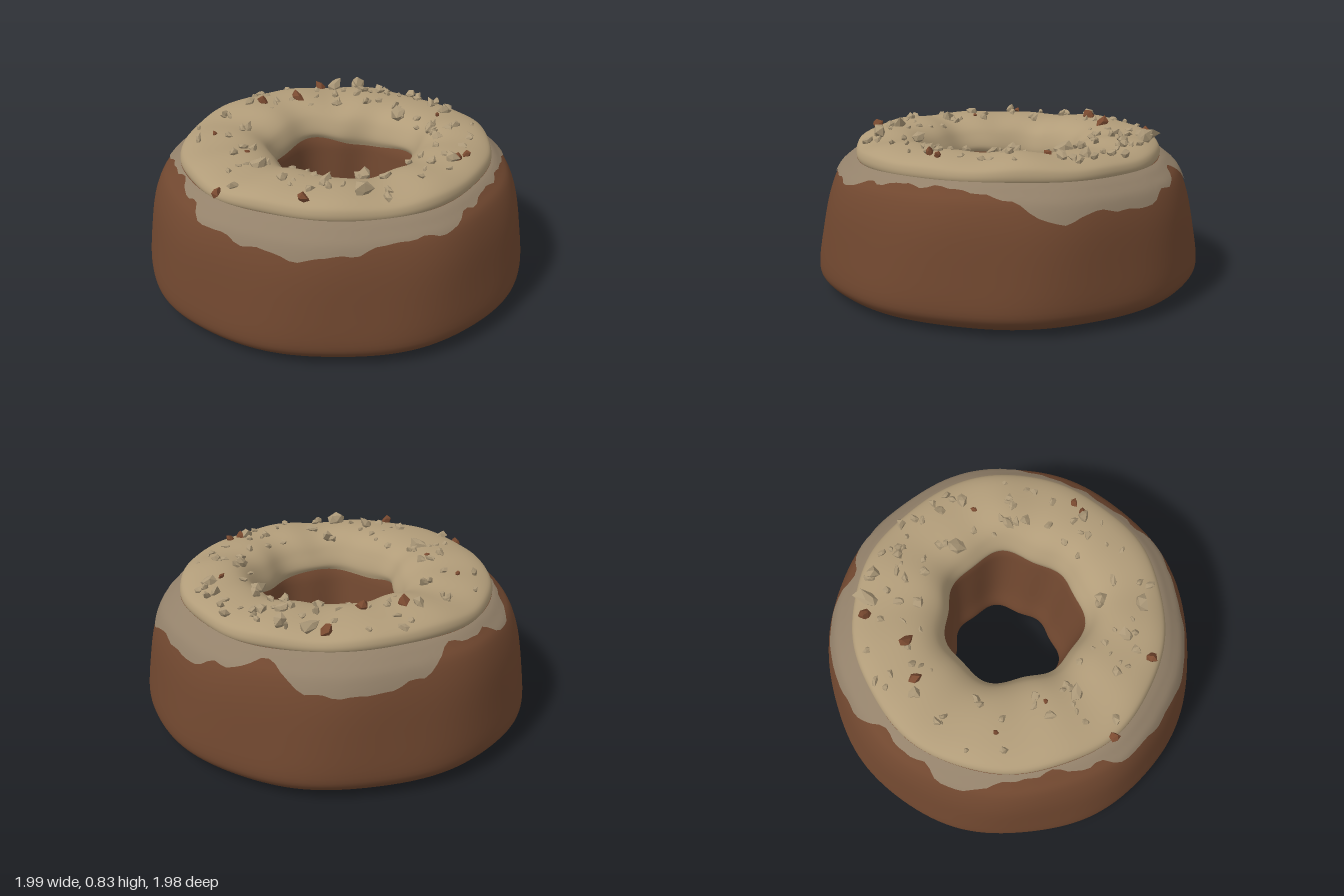
import * as THREE from 'three';

const mat = (name, color, extra = {}) => {
  const m = new THREE.MeshStandardMaterial({ color, ...extra });
  m.name = name;
  return m;
};

// small seeded generator
let seed = 7;
const rand = () => {
  seed = (seed * 16807) % 2147483647;
  return seed / 2147483647;
};

const SEGS = 144;
const clamp = THREE.MathUtils.clamp;
const smooth = (pts, n) =>
  new THREE.SplineCurve(pts.map(([r, y]) => new THREE.Vector2(r, y))).getPoints(n);

// places a profile point on the slightly uneven, off-centre ring
function ringPoint(r, y, a) {
  const w = clamp((0.8 - r) / 0.4, 0, 1); // 1 at the hole, 0 at the outside
  const outer = 0.004 * Math.sin(5 * a + 1) + 0.004 * Math.sin(9 * a + y * 4);
  const inner = 0.012 * Math.sin(3 * a + 2) + 0.012 * Math.sin(7 * a + 1);
  const rr = r + outer * (1 - w) + inner * w;
  const lift = 0.008 * Math.sin(3 * a + 0.5) * clamp(y * 2, 0, 1);
  const lean = -0.012 * Math.sin(a) * clamp(y * 2, 0, 1) * (1 - w);
  return [
    rr * Math.cos(a) + 0.03 * w,
    y + lift,
    rr * Math.sin(a) + lean + w * THREE.MathUtils.lerp(-0.03, 0.03, clamp(y / 0.7, 0, 1)),
  ];
}

// surface of revolution whose profile may change with the angle
function ring(rows, at) {
  const pos = [], idx = [];
  for (let i = 0; i < rows; i++) {
    for (let j = 0; j < SEGS; j++) {
      const a = (j / SEGS) * Math.PI * 2;
      const [r, y] = at(i, a);
      pos.push(...ringPoint(r, y, a));
      if (i === rows - 1) continue;
      const k = i * SEGS + j, n = i * SEGS + ((j + 1) % SEGS);
      idx.push(k, k + SEGS, n, n, k + SEGS, n + SEGS);
    }
  }
  const g = new THREE.BufferGeometry();
  g.setAttribute('position', new THREE.Float32BufferAttribute(pos, 3));
  g.setIndex(idx);
  g.computeVertexNormals();
  return g;
}

// height on a sampled profile at radius r, or radius at height y
function lookup(points, key, val, v) {
  for (let i = 1; i < points.length; i++) {
    const p = points[i - 1], q = points[i];
    if ((p[key] - v) * (q[key] - v) <= 0 && p[key] !== q[key]) {
      return THREE.MathUtils.lerp(p[val], q[val], (v - p[key]) / (q[key] - p[key]));
    }
  }
  return points[points.length - 1][val];
}

// irregular angular crumb
function crumb(size) {
  const g = new THREE.IcosahedronGeometry(size, 0);
  const p = g.attributes.position;
  const s = [0.7 + rand() * 0.6, 0.5 + rand() * 0.5, 0.5 + rand() * 0.6];
  const ph = rand() * 6;
  for (let i = 0; i < p.count; i++) {
    const x = p.getX(i), y = p.getY(i), z = p.getZ(i);
    const k = 1 + 0.35 * Math.sin((x * 3 + y * 5 - z * 4) / size + ph);
    p.setXYZ(i, x * s[0] * k, y * s[1] * k, z * s[2] * k);
  }
  g.computeVertexNormals();
  return g;
}

export function createModel() {
  seed = 7;
  const group = new THREE.Group();
  const dough = mat('dough brown', 0x70472f);
  const soaked = mat('soaked glaze', 0x93816a, { side: THREE.DoubleSide });
  const icingMat = mat('icing beige', 0xb19c79, { side: THREE.DoubleSide });
  const nutMat = mat('nut tan', 0xab9878, { flatShading: true });
  const darkNut = mat('nut brown', 0x7a4a30, { flatShading: true });
  const add = (name, geo, m, parent = group) => {
    const mesh = new THREE.Mesh(geo, m);
    mesh.name = name;
    parent.add(mesh);
    return mesh;
  };

  // dough ring
  const body = smooth([
    [0.3, 0.025], [0.6, 0.015], [0.82, 0.015], [0.91, 0.035], [0.97, 0.075], [0.992, 0.14],
    [0.975, 0.3], [0.945, 0.48], [0.9, 0.6], [0.85, 0.65], [0.79, 0.69], [0.68, 0.71],
    [0.5, 0.7], [0.42, 0.66], [0.365, 0.59], [0.345, 0.48], [0.315, 0.22], [0.288, 0.08], [0.3, 0.025],
  ], 72);
  add('doughRing', ring(body.length, (i) => [body[i].x, body[i].y]), dough);

  // soaked glaze band with an uneven lower edge, one height every 15 degrees
  const edge = [
    0.53, 0.63, 0.662, 0.662, 0.65, 0.61, 0.615, 0.575, 0.545, 0.57, 0.6, 0.655,
    0.682, 0.665, 0.61, 0.655, 0.66, 0.56, 0.525, 0.535, 0.65, 0.6, 0.55, 0.57,
  ];
  const outerSide = body.slice(body.findIndex((p) => p.y > 0.2), body.findIndex((p) => p.y > 0.695));
  const bandRows = 10;
  add('glazeBand', ring(bandRows, (i, a) => {
    const f = (a / (Math.PI * 2)) * edge.length, k = Math.floor(f);
    const t = THREE.MathUtils.smoothstep(f - k, 0.1, 0.9);
    const low = THREE.MathUtils.lerp(edge[k % 24], edge[(k + 1) % 24], t)
      + 0.006 * Math.sin(23 * a) + 0.004 * Math.sin(41 * a);
    const y = THREE.MathUtils.lerp(Math.min(low, 0.685), 0.688, i / (bandRows - 1));
    return [lookup(outerSide, 'y', 'x', y) + 0.005, y + 0.003];
  }), soaked);

  // icing cap
  const icing = smooth([
    [0.775, 0.675], [0.797, 0.69], [0.798, 0.72], [0.775, 0.75], [0.7, 0.775], [0.58, 0.785],
    [0.48, 0.772], [0.41, 0.735], [0.37, 0.68], [0.352, 0.63], [0.362, 0.595],
  ], 40);
  const bump = (a) => 0.006 * Math.sin(6 * a + 1) + 0.005 * Math.sin(11 * a);
  add('icing', ring(icing.length, (i, a) => {
    const t = Math.sin((Math.PI * i) / (icing.length - 1));
    const drip = i > 30 ? ((i - 30) / 10) * 0.02 * Math.sin(4 * a + 2) : 0;
    return [icing[i].x, icing[i].y + bump(a) * t + drip];
  }), icingMat);

  // chopped nuts: the larger ones first, as [x, z, size, brown]
  const nuts = new THREE.Group();
  nuts.name = 'choppedNuts';
  group.add(nuts);
  const large = [
    [-0.24, -0.52, 0.038, 1], [-0.04, -0.53, 0.042, 1], [0.15, -0.7, 0.036, 1], [0.23, -0.67, 0.06, 0],
    [0.36, -0.62, 0.035, 0], [0.18, -0.52, 0.035, 0], [0.43, 0.49, 0.042, 0], [0.52, 0.46, 0.032, 1],
    [-0.38, 0.63, 0.035, 1], [-0.25, 0.54, 0.045, 0], [-0.1, 0.66, 0.04, 0], [0.48, 0.1, 0.045, 0],
    [-0.45, 0.03, 0.035, 0], [-0.72, 0.36, 0.03, 1], [0.42, -0.18, 0.035, 0], [-0.68, -0.18, 0.035, 0],
    [0.05, 0.55, 0.03, 0], [-0.48, 0.23, 0.04, 0], [0.66, -0.1, 0.034, 0], [-0.02, 0.47, 0.032, 0],
  ];
  const top = icing.slice(4);
  const place = (x, z, size, brown) => {
    const r = clamp(Math.hypot(x - 0.01, z - 0.01), 0.38, 0.79);
    const y = lookup(top, 'x', 'y', r) + bump(Math.atan2(z, x)) + size * 0.25;
    const nut = add('nut', crumb(size), brown ? darkNut : nutMat, nuts);
    nut.position.set(x, y, z);
    nut.rotation.set(rand() * 0.8, rand() * 6, rand() * 0.8);
  };
  large.forEach((n) => place(...n));
  for (let i = 0; i < 100; i++) {
    const a = rand() * Math.PI * 2, r = 0.43 + rand() * 0.33;
    place(r * Math.cos(a) + 0.01, r * Math.sin(a) + 0.01, 0.015 + rand() * 0.015, i % 25 === 0);
  }
  return group;
}
